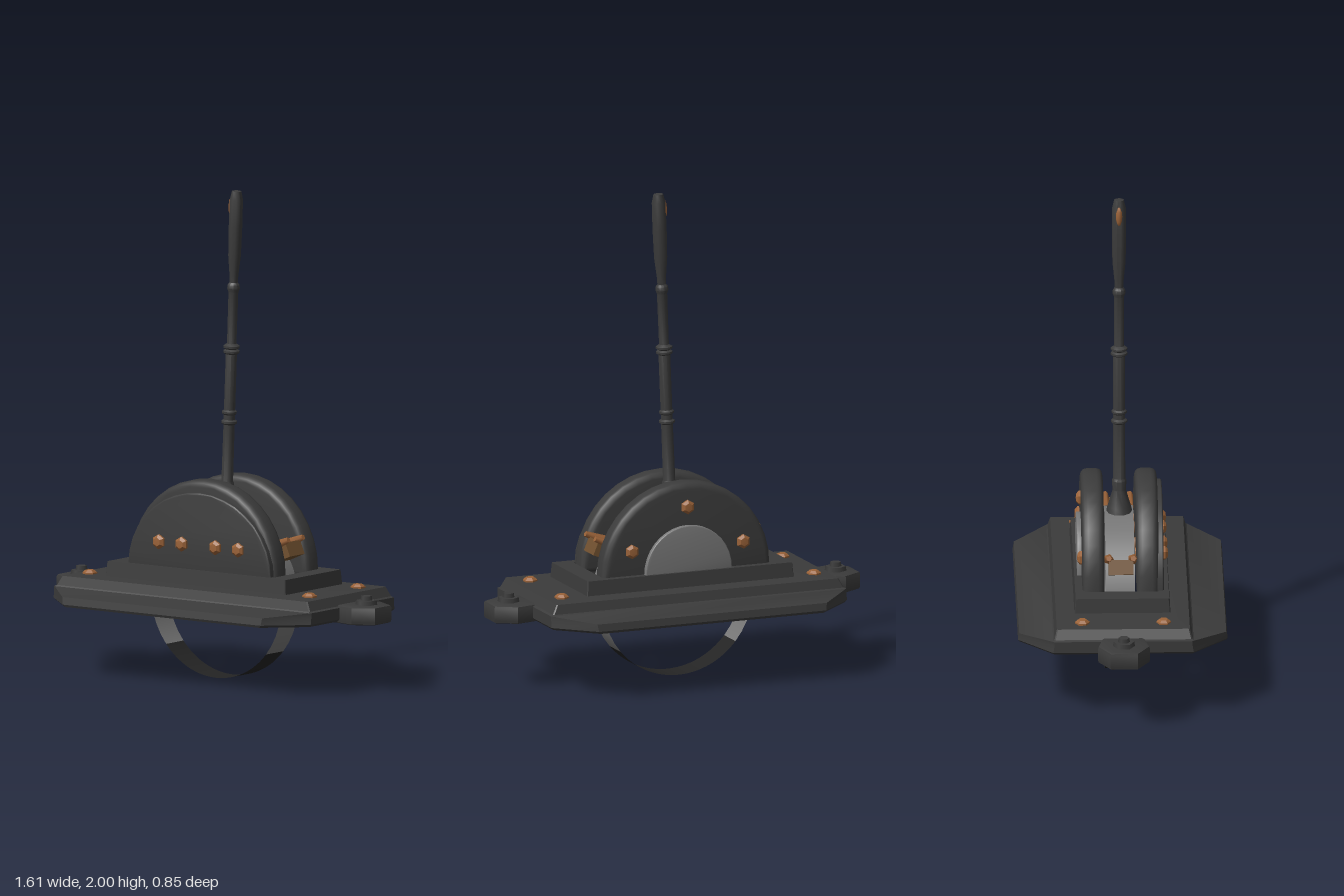
import * as THREE from 'three';
import { toCreasedNormals } from 'three/addons/utils/BufferGeometryUtils.js';

const mat = (name, color, extra = {}) => {
  const m = new THREE.MeshStandardMaterial({ color, ...extra });
  m.name = name;
  return m;
};

export function createModel() {
  const iron = mat('dark iron', 0x3b3b3b);
  const shell = mat('dark iron shell', 0x3b3b3b, { side: THREE.DoubleSide });
  const copper = mat('copper', 0x9a6238);
  const bronze = mat('dull bronze', 0x70502f);
  const steel = mat('grey steel', 0x777777, { side: THREE.DoubleSide });
  const black = mat('blackened steel', 0x242424, { side: THREE.DoubleSide });

  const model = new THREE.Group();
  const add = (name, geo, material, x = 0, y = 0, z = 0, parent = model) => {
    const m = new THREE.Mesh(geo, material);
    m.name = name;
    m.position.set(x, y, z);
    parent.add(m);
    return m;
  };

  // Hollow base: eight-cornered loops of half length, half width, corner cut and height
  const loops = [
    [0.64, 0.42, 0.15, 0.29], [0.65, 0.425, 0.15, 0.30], [0.65, 0.42, 0.145, 0.33],
    [0.65, 0.285, 0.005, 0.347], [0.64, 0.28, 0.005, 0.352], [0.62, 0.27, 0.005, 0.39],
    [0.455, 0.195, 0.003, 0.395], [0.45, 0.19, 0.003, 0.455], [0.37, 0.15, 0.003, 0.455],
    [0.37, 0.15, 0.003, 0.40],
  ];
  const pos = [], index = [];
  for (const [a, b, c, y] of loops) {
    const d = Math.min(c, 0.14);
    for (const [x, z] of [[a, b - d], [a - c, b], [c - a, b], [-a, b - d],
      [-a, d - b], [c - a, -b], [a - c, -b], [a, d - b]]) pos.push(x, y, z);
  }
  for (let j = 0; j < loops.length - 1; j++) {
    for (let i = 0; i < 8; i++) {
      const p = j * 8 + i, q = j * 8 + (i + 1) % 8;
      index.push(p, p + 8, q, q, p + 8, q + 8);
    }
  }
  const base = new THREE.BufferGeometry();
  base.setAttribute('position', new THREE.Float32BufferAttribute(pos, 3));
  base.setIndex(index);
  add('base', toCreasedNormals(base, 0.5), shell);

  // Mounting ears with hexagonal bolts
  for (const s of [-1, 1]) {
    const ear = new THREE.Shape([[0.6, -0.07], [0.65, -0.08], [0.72, -0.095], [0.795, -0.05],
      [0.795, 0.05], [0.72, 0.095], [0.65, 0.08], [0.6, 0.07]]
      .map(([x, y]) => new THREE.Vector2(x, y)));
    const geo = new THREE.ExtrudeGeometry(ear, {
      depth: 0.05, bevelThickness: 0.012, bevelSize: 0.01, bevelSegments: 2 });
    geo.rotateX(-Math.PI / 2);
    if (s < 0) geo.rotateY(Math.PI);
    add('mountingEar', toCreasedNormals(geo, 0.6), iron, 0, 0.295, 0);
    add('earWasher', new THREE.CylinderGeometry(0.042, 0.045, 0.02, 6), iron, s * 0.72, 0.365, 0);
    add('earBolt', new THREE.CylinderGeometry(0.022, 0.025, 0.025, 6), iron, s * 0.72, 0.38, 0);
  }

  // Domed copper rivet, head pointing along +y
  const rivet = toCreasedNormals(new THREE.LatheGeometry(
    [[0, -0.01], [0.03, -0.01], [0.03, 0.004], [0.018, 0.014], [0, 0.016]]
      .map(([r, y]) => new THREE.Vector2(r, y)), 6), 0.6);
  for (const x of [-0.555, 0.555]) {
    for (const z of [-0.165, 0.165]) add('baseRivet', rivet, copper, x, 0.394, z);
  }

  // Half discs with rounded rims
  const halfDisc = (rx, ry, depth, bevel) => {
    const s = new THREE.Shape();
    s.moveTo(rx - bevel, 0);
    s.absellipse(0, 0, rx - bevel, ry - bevel, 0, Math.PI, false, 0);
    s.closePath();
    const g = new THREE.ExtrudeGeometry(s, {
      depth: depth - 2 * bevel, bevelThickness: bevel, bevelSize: bevel,
      bevelSegments: 3, curveSegments: 9 });
    g.translate(0, 0, bevel - depth / 2);
    return toCreasedNormals(g, 0.6);
  };
  const cheek = halfDisc(0.37, 0.37, 0.09, 0.025);
  add('frontCheek', cheek, iron, 0, 0.45, 0.105);
  add('backCheek', cheek, iron, 0, 0.45, -0.115);
  add('frontCover', halfDisc(0.36, 0.32, 0.03, 0.006), iron, 0, 0.45, 0.155);
  add('backCover', halfDisc(0.19, 0.19, 0.03, 0.004), steel, 0, 0.455, -0.163);

  // Rivets on both cheeks; the front ones go right through
  for (const x of [-0.2, -0.085, 0.085, 0.2]) {
    add('frontRivet', rivet, copper, x, 0.555, 0.175).rotation.x = Math.PI / 2;
    add('rivetShank', new THREE.CylinderGeometry(0.025, 0.025, 0.11, 8), copper, x, 0.555, 0.112)
      .rotation.x = Math.PI / 2;
  }
  for (const [x, y] of [[-0.245, 0.555], [0, 0.72], [0.245, 0.555]]) {
    add('backRivet', rivet, copper, x, y, -0.164).rotation.x = -Math.PI / 2;
  }

  // Thin wheel band between the cheeks, dark along its lowest arc
  const band = (start, length) => new THREE.CylinderGeometry(
    0.33, 0.33, 0.118, 32, 1, true, start, length).rotateX(Math.PI / 2);
  add('wheelBand', band(0.87, Math.PI * 2 - 1.74), steel, 0, 0.33, -0.005);
  add('wheelBandBottom', band(-0.87, 1.74), black, 0, 0.33, -0.005);

  // Stops at both ends of the lever slot
  for (const s of [-1, 1]) {
    const stop = new THREE.Group();
    stop.name = 'slotStop';
    stop.position.set(s * 0.32, 0.54, -0.003);
    stop.rotation.z = s * 0.4;
    model.add(stop);
    add('stopBlock', new THREE.BoxGeometry(0.08, 0.06, 0.1), bronze, 0, 0, 0, stop);
    for (const z of [-0.05, 0.05]) {
      const clip = new THREE.CylinderGeometry(0.012, 0.022, 0.09, 5).rotateZ(-s * Math.PI / 2);
      add('stopClip', clip, copper, s * 0.015, 0.035, z, stop);
    }
  }

  // Tilted lever: flared foot, collared shaft and swelling grip
  const lever = new THREE.Group();
  lever.name = 'lever';
  lever.position.set(0.008, 0.65, -0.003);
  lever.rotation.z = -0.04;
  model.add(lever);
  const profile = (pts) => toCreasedNormals(new THREE.LatheGeometry(
    pts.map(([r, y]) => new THREE.Vector2(r, y)), 10), 0.7);
  add('leverShaft', profile([[0, 0], [0.055, 0], [0.048, 0.03], [0.027, 0.1], [0.03, 0.14],
    [0.025, 0.15], [0.024, 0.38], [0.024, 0.69], [0.02, 0.7], [0.021, 0.93], [0.027, 0.945],
    [0.025, 0.96], [0.017, 0.97]]), iron, 0, 0, 0, lever);
  for (const [y, r] of [[0.395, 0.033], [0.435, 0.031], [0.685, 0.034], [0.705, 0.034]]) {
    add('shaftCollar', profile([[0.02, -0.013], [r, -0.004], [r, 0.004], [0.02, 0.013]]),
      iron, 0, y, 0, lever);
  }
  add('leverGrip', profile([[0.017, 0.96], [0.019, 1.0], [0.027, 1.08], [0.029, 1.2],
    [0.028, 1.31], [0.02, 1.345], [0, 1.35]]), iron, 0, 0, 0, lever);
  const button = add('gripButton', new THREE.SphereGeometry(1, 8, 6), copper, -0.022, 1.28, 0, lever);
  button.scale.set(0.014, 0.042, 0.014);

  return model;
}
